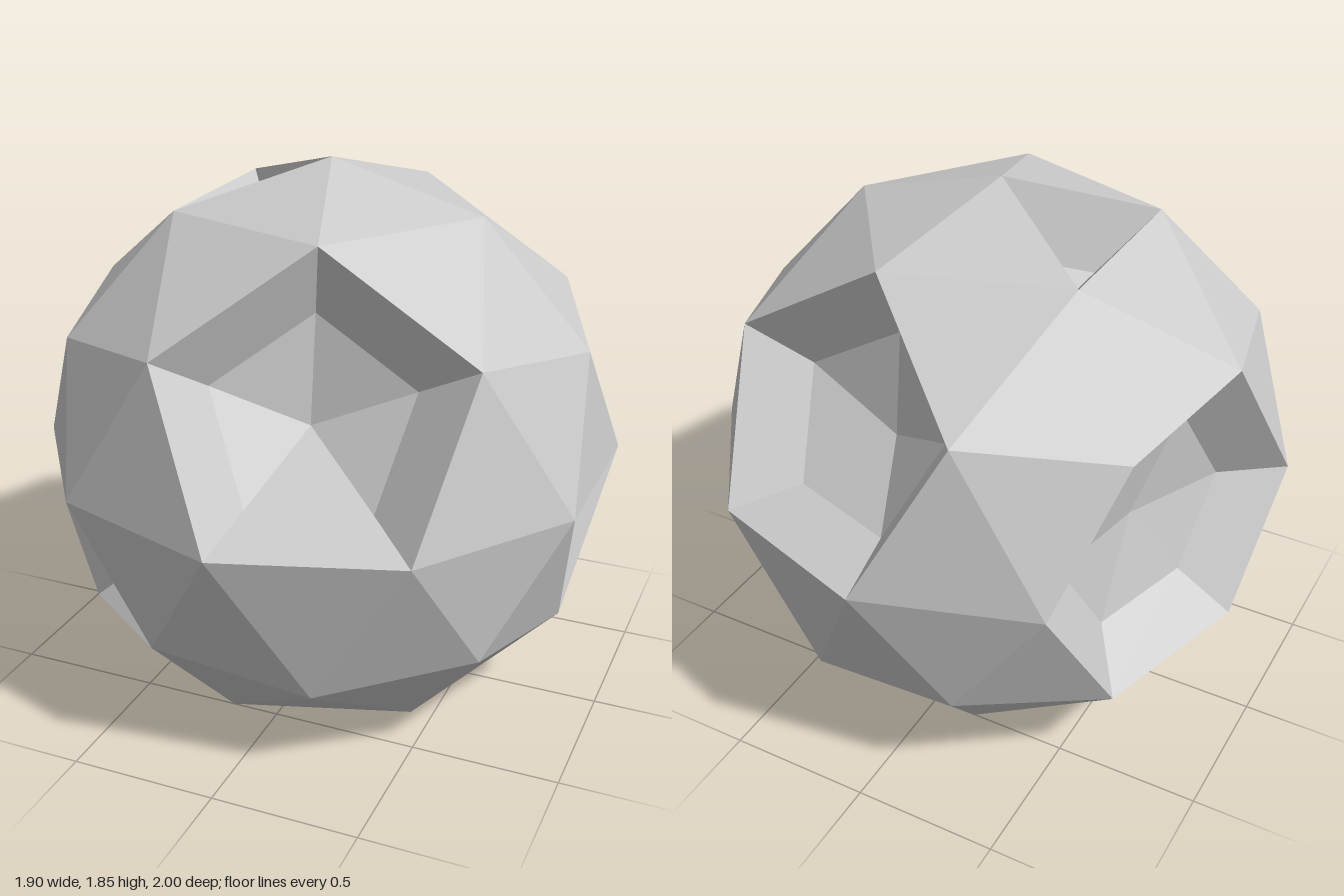
import * as THREE from 'three';

const V = (x, y, z) => new THREE.Vector3(x, y, z);

// Recess sunk around one vertex of the ball: rim shrinks inward, middle drops deeper
const dent = (name, centre, shift = centre.clone().multiplyScalar(0.135), bottom = centre.clone().multiplyScalar(0.58)) => ({
  name, centre,
  owns: tri => tri.some(p => p.distanceTo(centre) < 0.03),
  drop: p => p.distanceTo(centre) < 0.03 ? bottom : p.clone().multiplyScalar(0.65).add(shift),
});

// Recess sunk into a single triangular facet
const pocket = (name, middle) => ({
  name, centre: null,
  owns: tri => V(0, 0, 0).add(tri[0]).add(tri[1]).add(tri[2]).divideScalar(3).distanceTo(middle) < 0.05,
  drop: p => p.clone().multiplyScalar(0.42).addScaledVector(middle.clone().normalize(), 0.32),
});

const recesses = [
  dent('frontRecess', V(0.276, 0.447, 0.851), V(0.021, 0.064, 0.11), V(0.127, 0.256, 0.48)),
  dent('backRecess', V(0.276, 0.447, -0.851), V(0.021, 0.064, -0.11), V(0.127, 0.256, -0.48)),
  dent('bottomRecess', V(0, -1, 0)),
  dent('sideRecess', V(-0.951, 0, -0.309), undefined, V(-0.951, 0, -0.309).multiplyScalar(0.61)),
  pocket('topPocket', V(-0.283, 0.9, 0)),
  pocket('sidePocket', V(0.918, -0.175, 0)),
  pocket('frontPocket', V(-0.517, -0.324, 0.72)),
];

function facetMesh(name, points) {
  const geometry = new THREE.BufferGeometry().setFromPoints(points);
  geometry.computeVertexNormals();
  const mesh = new THREE.Mesh(geometry, new THREE.MeshStandardMaterial({ color: 0xcccccc, flatShading: true }));
  mesh.name = name;
  return mesh;
}

export function createModel() {
  const group = new THREE.Group();
  group.name = 'dentedBall';

  // Faceted ball turned so that a five-sided corner points straight up
  const ball = new THREE.IcosahedronGeometry(1, 1);
  ball.rotateZ(-Math.atan2(1, (1 + Math.sqrt(5)) / 2));
  const pos = ball.toNonIndexed ? (ball.index ? ball.toNonIndexed() : ball).attributes.position : ball.attributes.position;

  const shell = [];
  const sunk = recesses.map(() => []);
  for (let i = 0; i < pos.count; i += 3) {
    const tri = [0, 1, 2].map(k => new THREE.Vector3().fromBufferAttribute(pos, i + k));
    const r = recesses.findIndex(q => q.owns(tri));
    if (r < 0) {
      shell.push(...tri);
      continue;
    }
    // Floor of the recess, plus a wall below each rim edge
    const { centre, drop } = recesses[r];
    const low = tri.map(drop);
    sunk[r].push(...low);
    for (let k = 0; k < 3; k++) {
      const n = (k + 1) % 3;
      if (centre && (tri[k].distanceTo(centre) < 0.03 || tri[n].distanceTo(centre) < 0.03)) continue;
      sunk[r].push(tri[k], tri[n], low[n], tri[k], low[n], low[k]);
    }
  }

  group.add(facetMesh('shell', shell));
  recesses.forEach((q, r) => group.add(facetMesh(q.name, sunk[r])));

  // Stand the ball on its flat bottom rim
  group.children.forEach(m => m.geometry.translate(0, 0.851, 0));
  return group;
}
